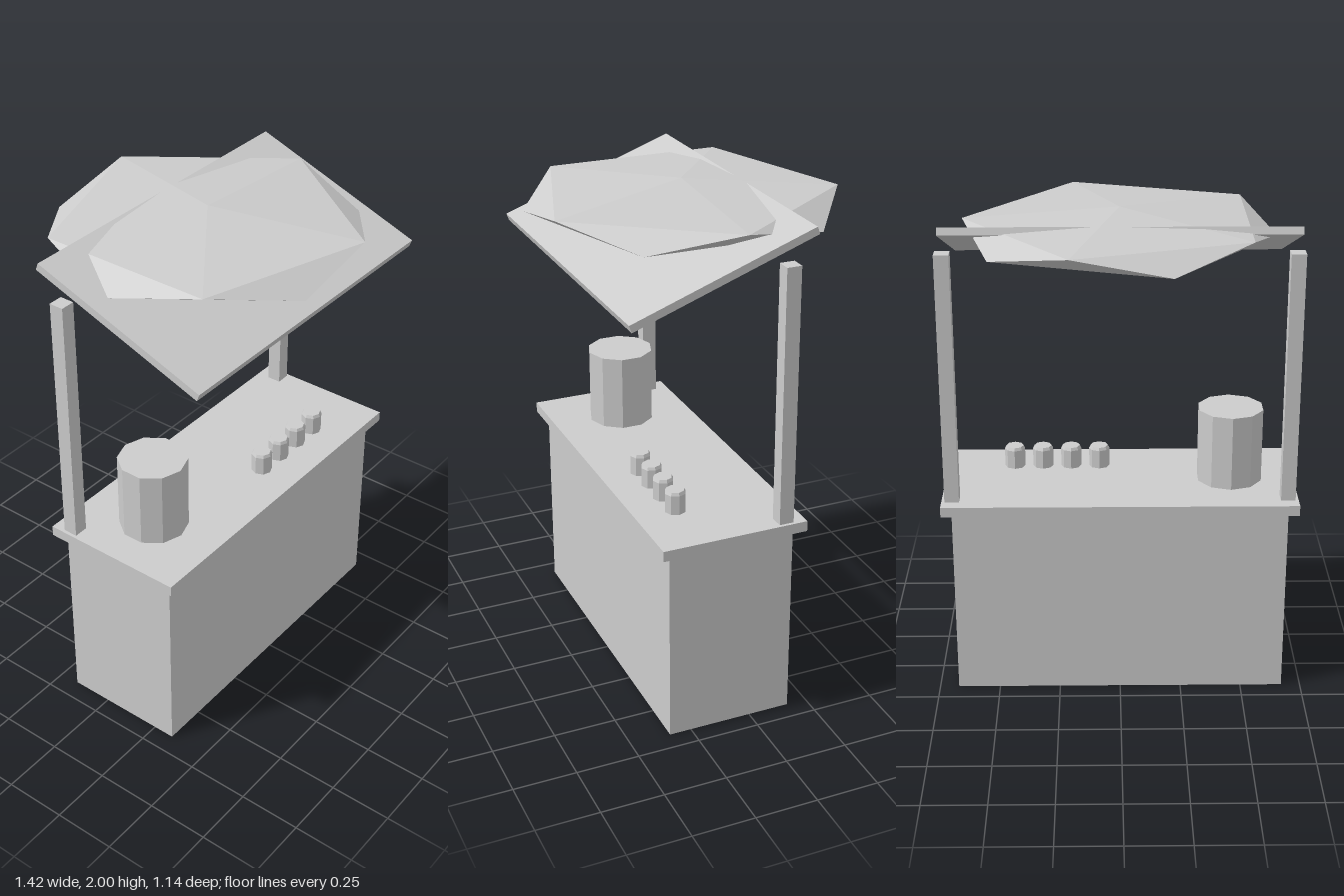
import * as THREE from 'three';

export function createModel() {
  const model = new THREE.Group();
  model.name = 'drinkStall';
  const grey = new THREE.MeshStandardMaterial({ color: 0xcccccc, flatShading: true });
  grey.name = 'plain grey';

  const add = (name, geometry, x, y, z) => {
    const mesh = new THREE.Mesh(geometry, grey);
    mesh.name = name;
    mesh.position.set(x, y, z);
    model.add(mesh);
    return mesh;
  };

  // Counter body and overhanging top
  add('counterBody', new THREE.BoxGeometry(1.344, 0.8, 0.506), 0, 0.4, 0.085);
  add('counterTop', new THREE.BoxGeometry(1.424, 0.042, 0.586), 0, 0.82, 0.085);

  // Pair of rear posts
  for (const side of [-1, 1]) {
    add(side > 0 ? 'leftPost' : 'rightPost',
      new THREE.BoxGeometry(0.058, 1.015, 0.058), side * 0.67, 1.348, -0.127);
  }

  // Awning sloping down to the front
  const awning = add('awning', new THREE.BoxGeometry(1.35, 0.03, 0.755), 0, 1.838, 0.125);
  awning.rotation.x = THREE.MathUtils.degToRad(20);

  // Flattened icosahedron canopy with one corner pointing up
  const canopy = new THREE.IcosahedronGeometry(1, 0);
  canopy.rotateZ(-Math.atan(2 / (1 + Math.sqrt(5))));
  canopy.scale(0.67, 0.0775, 0.67);
  canopy.computeVertexNormals();
  add('canopy', canopy, 0, 1.9225, 0);

  // Ten-sided urn
  add('urn', new THREE.CylinderGeometry(0.135, 0.135, 0.31, 10), -0.45, 0.995, 0.085);

  // Row of cups with bevelled rims
  const cupProfile = [[0, 0], [0.042, 0], [0.042, 0.078], [0.036, 0.09], [0, 0.09]]
    .map(([r, y]) => new THREE.Vector2(r, y));
  for (let i = 0; i < 4; i++) {
    add('cup' + (i + 1), new THREE.LatheGeometry(cupProfile, 8), 0.083 + i * 0.117, 0.841, 0.213);
  }
  return model;
}
